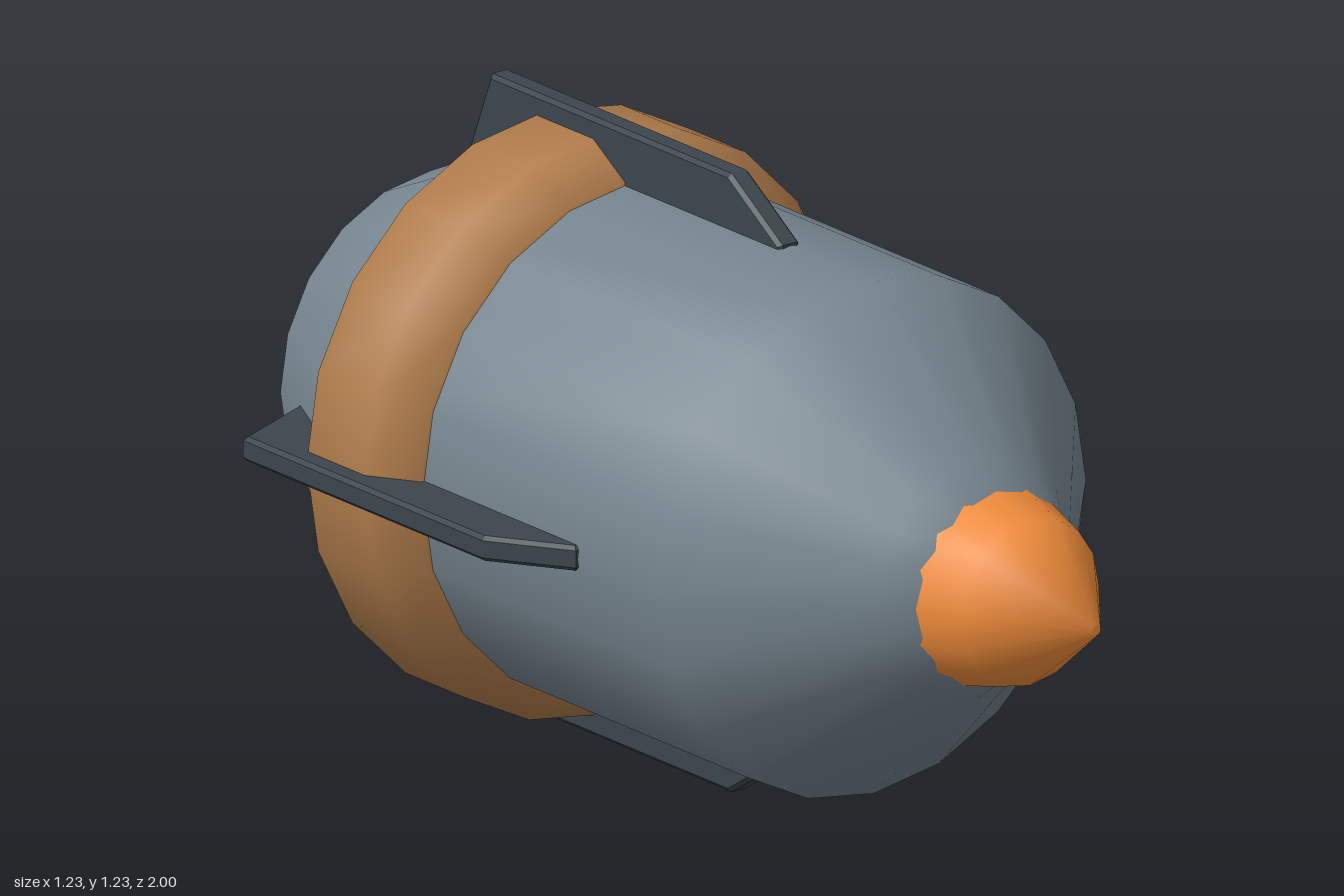
import * as THREE from 'three';
import { toCreasedNormals } from 'three/addons/utils/BufferGeometryUtils.js';

const material = (color) => new THREE.MeshStandardMaterial({ color });

// Solid of revolution along z from [z, radius] pairs, listed back to front
function turned(name, profile, sides, mat) {
  const points = profile.map(([z, r]) => new THREE.Vector2(r, z));
  const geometry = new THREE.LatheGeometry(points, sides).rotateX(Math.PI / 2);
  const mesh = new THREE.Mesh(toCreasedNormals(geometry, 1.05), mat);
  mesh.name = name;
  return mesh;
}

export function createModel() {
  const model = new THREE.Group();
  model.name = 'finnedShell';
  const shell = new THREE.Group();
  shell.name = 'shell';
  shell.position.y = 0.615;
  model.add(shell);

  // Main casing with tapered tail and flat back
  shell.add(turned('body', [
    [-1, 0], [-1, 0.36], [-0.69, 0.51], [0.33, 0.51], [0.64, 0.235], [0.75, 0.155], [0.75, 0],
  ], 20, material(0x76858f)));

  // Pointed nose cap, tucked over the front of the body
  shell.add(turned('noseCap', [
    [0.62, 0], [0.62, 0.214], [0.8, 0.165], [1, 0.01], [1, 0],
  ], 16, material(0xf08c3a)));

  // Raised band near the tail
  shell.add(turned('band', [
    [-0.69, 0.5], [-0.695, 0.512], [-0.65, 0.577], [-0.48, 0.577], [-0.385, 0.517], [-0.385, 0.49],
  ], 20, material(0xb27e4c)));

  // Four fins with slightly bevelled edges; shape x runs along z, shape y is the radius
  const bevel = 0.008;
  const thickness = 0.05;
  const outline = [[0.072, 0.4], [0.072, 0.51], [-0.076, 0.607], [-0.787, 0.607], [-0.862, 0.42], [-0.862, 0.36]];
  const finShape = new THREE.Shape(outline.map(([z, r]) => new THREE.Vector2(z, r)));
  const finGeometry = new THREE.ExtrudeGeometry(finShape, {
    depth: thickness - 2 * bevel, bevelEnabled: true, bevelSize: bevel, bevelThickness: bevel, bevelSegments: 1,
  });
  finGeometry.translate(0, 0, bevel - thickness / 2).rotateY(-Math.PI / 2);
  const finMaterial = material(0x3b464c);
  ['topFin', 'leftFin', 'bottomFin', 'rightFin'].forEach((name, i) => {
    const fin = new THREE.Mesh(finGeometry, finMaterial);
    fin.name = name;
    fin.rotation.z = -i * Math.PI / 2;
    shell.add(fin);
  });

  return model;
}
